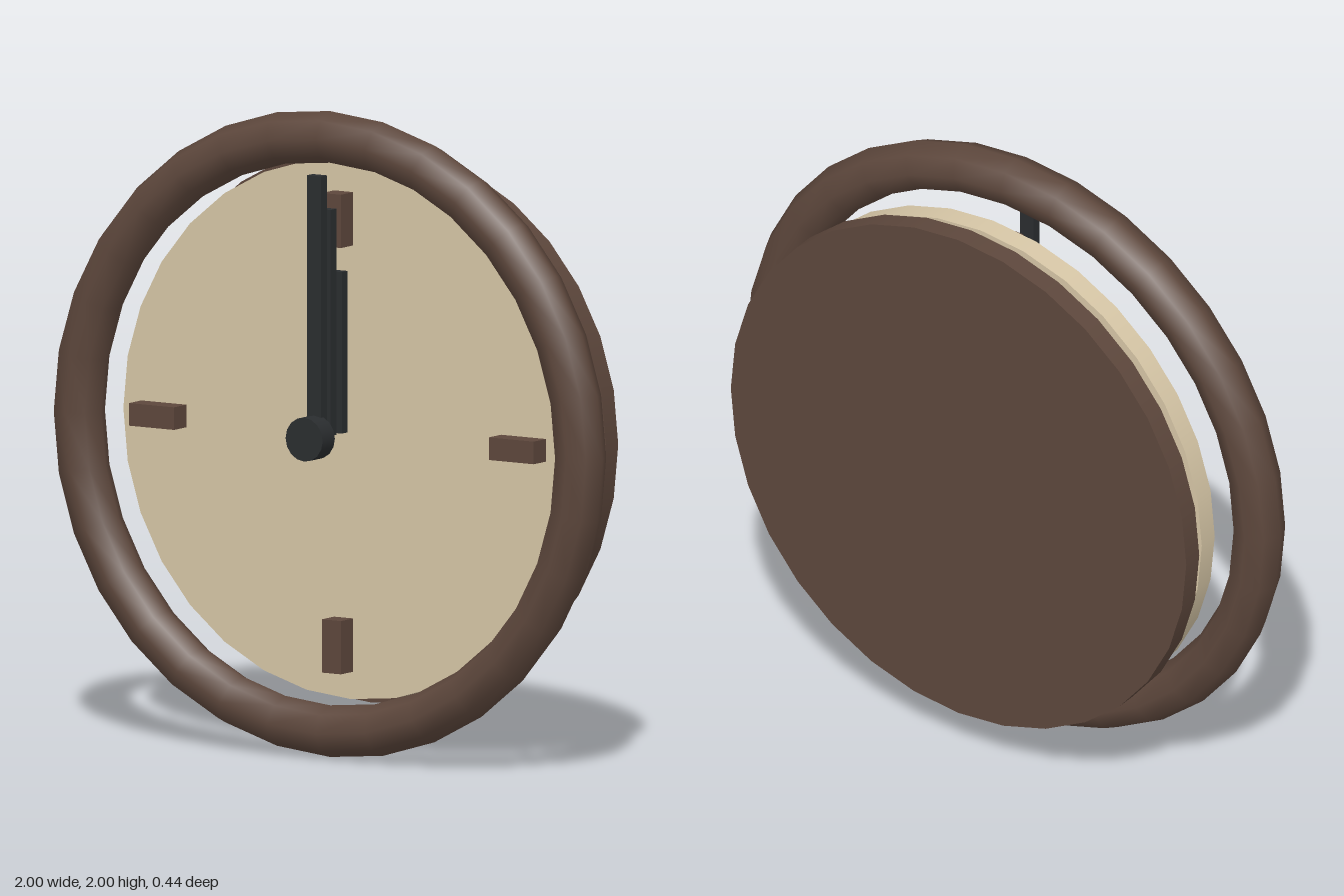
import * as THREE from 'three';

const material = (name, color) => {
  const m = new THREE.MeshStandardMaterial({ color });
  m.name = name;
  return m;
};

export function createModel() {
  const brown = material('dark wood', 0x5d473c);
  const cream = material('cream', 0xd6c6a6);
  const black = material('black', 0x2a2d2f);

  const clock = new THREE.Group();
  clock.name = 'wallClock';

  const add = (name, geometry, mat, x, y, z) => {
    const mesh = new THREE.Mesh(geometry, mat);
    mesh.name = name;
    mesh.position.set(x, y, z);
    clock.add(mesh);
    return mesh;
  };
  // Disc facing the front, one flat face towards +z
  const disc = (radius, depth, sides) =>
    new THREE.CylinderGeometry(radius, radius, depth, sides).rotateX(Math.PI / 2);

  // Separate layers: back plate, dial and round frame
  add('backPlate', disc(0.86, 0.068, 32), brown, 0, 1, -0.188);
  add('dial', disc(0.835, 0.068, 32), cream, 0, 1, -0.072);
  add('frame', new THREE.TorusGeometry(0.92, 0.08, 8, 32), brown, 0, 1, 0.078);

  // Four hour markers, floating ahead of the dial
  for (let i = 0; i < 4; i++) {
    const a = (i * Math.PI) / 2;
    const marker = add('hourMarker' + (i + 1), new THREE.BoxGeometry(0.07, 0.165, 0.068), brown,
      -0.66 * Math.sin(a), 1 + 0.66 * Math.cos(a), 0.036);
    marker.rotation.z = a;
  }

  // Stacked hands, all pointing up from the centre
  const hands = [
    ['hourHand', 0.5, 0.036],
    ['minuteHand', 0.7, 0.098],
    ['secondHand', 0.81, 0.151],
  ];
  for (const [name, length, z] of hands) {
    add(name, new THREE.BoxGeometry(0.052, length, 0.032), black, 0, 1 + length / 2, z);
  }

  add('centreHub', disc(0.068, 0.068, 16), black, 0, 1, 0.188);
  return clock;
}
